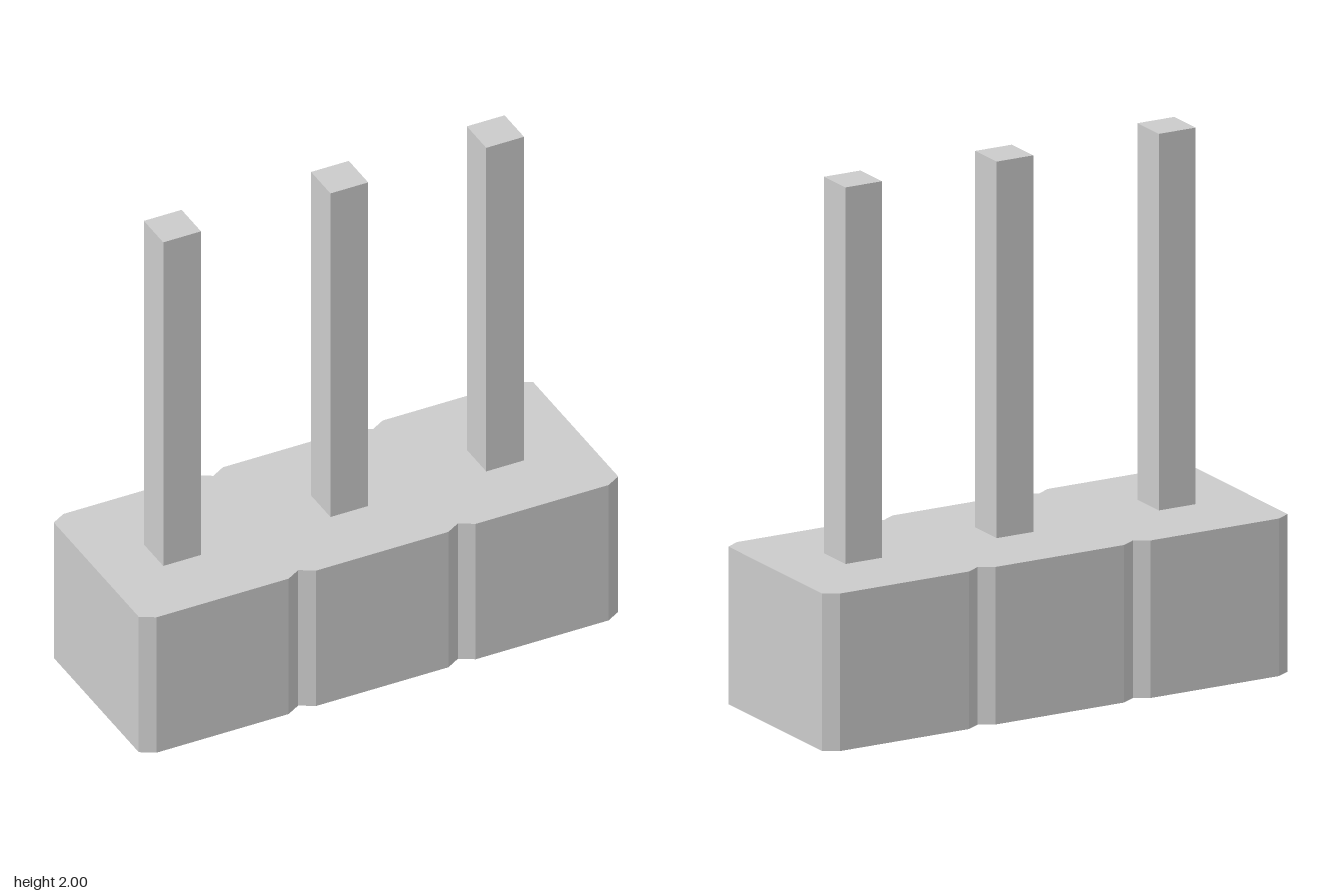
import * as THREE from 'three';

const HALF_X = 0.965, HALF_Z = 0.365, HEIGHT = 0.59, TOP = 2;
const CUT_X = 0.055, CUT_Z = 0.032; // chamfer and notch size
const PIN = 0.152;

// Footprint of the housing: chamfered corners and two V notches on each long side
function outline() {
  const side = [[-HALF_X, HALF_Z - CUT_Z], [-HALF_X + CUT_X, HALF_Z]];
  for (const x of [-0.323, 0.32]) {
    side.push([x - CUT_X, HALF_Z], [x, HALF_Z - CUT_Z], [x + CUT_X, HALF_Z]);
  }
  side.push([HALF_X - CUT_X, HALF_Z], [HALF_X, HALF_Z - CUT_Z]);
  const back = side.map(([x, z]) => [x, -z]).reverse();
  return [...side, ...back].map(([x, z]) => new THREE.Vector2(x, z));
}

// Upright walls, one flat quad per outline edge
function wallGeometry(points) {
  const pos = [];
  points.forEach((a, i) => {
    const b = points[(i + 1) % points.length];
    pos.push(a.x, 0, a.y, b.x, 0, b.y, b.x, HEIGHT, b.y);
    pos.push(a.x, 0, a.y, b.x, HEIGHT, b.y, a.x, HEIGHT, a.y);
  });
  const geometry = new THREE.BufferGeometry();
  geometry.setAttribute('position', new THREE.Float32BufferAttribute(pos, 3));
  geometry.computeVertexNormals();
  return geometry;
}

export function createModel() {
  const model = new THREE.Group();
  model.name = 'pinHeader';
  const solid = new THREE.MeshStandardMaterial({ color: 0xcccccc, flatShading: true });
  const shell = new THREE.MeshStandardMaterial({ color: 0xcccccc, flatShading: true, side: THREE.DoubleSide });

  // Housing: a thin shell, open underneath
  const housing = new THREE.Group();
  housing.name = 'housing';
  const points = outline();
  const walls = new THREE.Mesh(wallGeometry(points), shell);
  walls.name = 'housingWalls';
  const lidShape = new THREE.Shape(points.map((p) => new THREE.Vector2(p.x, -p.y)));
  const lid = new THREE.Mesh(new THREE.ShapeGeometry(lidShape).rotateX(-Math.PI / 2), shell);
  lid.name = 'housingTop';
  lid.position.y = HEIGHT;
  housing.add(walls, lid);
  model.add(housing);

  // Three square pins standing on the housing
  const pinGeometry = new THREE.BoxGeometry(PIN, TOP - HEIGHT, PIN);
  [['rightPin', -0.665], ['middlePin', 0.008], ['leftPin', 0.635]].forEach(([name, x]) => {
    const pin = new THREE.Mesh(pinGeometry, solid);
    pin.name = name;
    pin.position.set(x, (TOP + HEIGHT) / 2, 0.013);
    model.add(pin);
  });

  return model;
}
